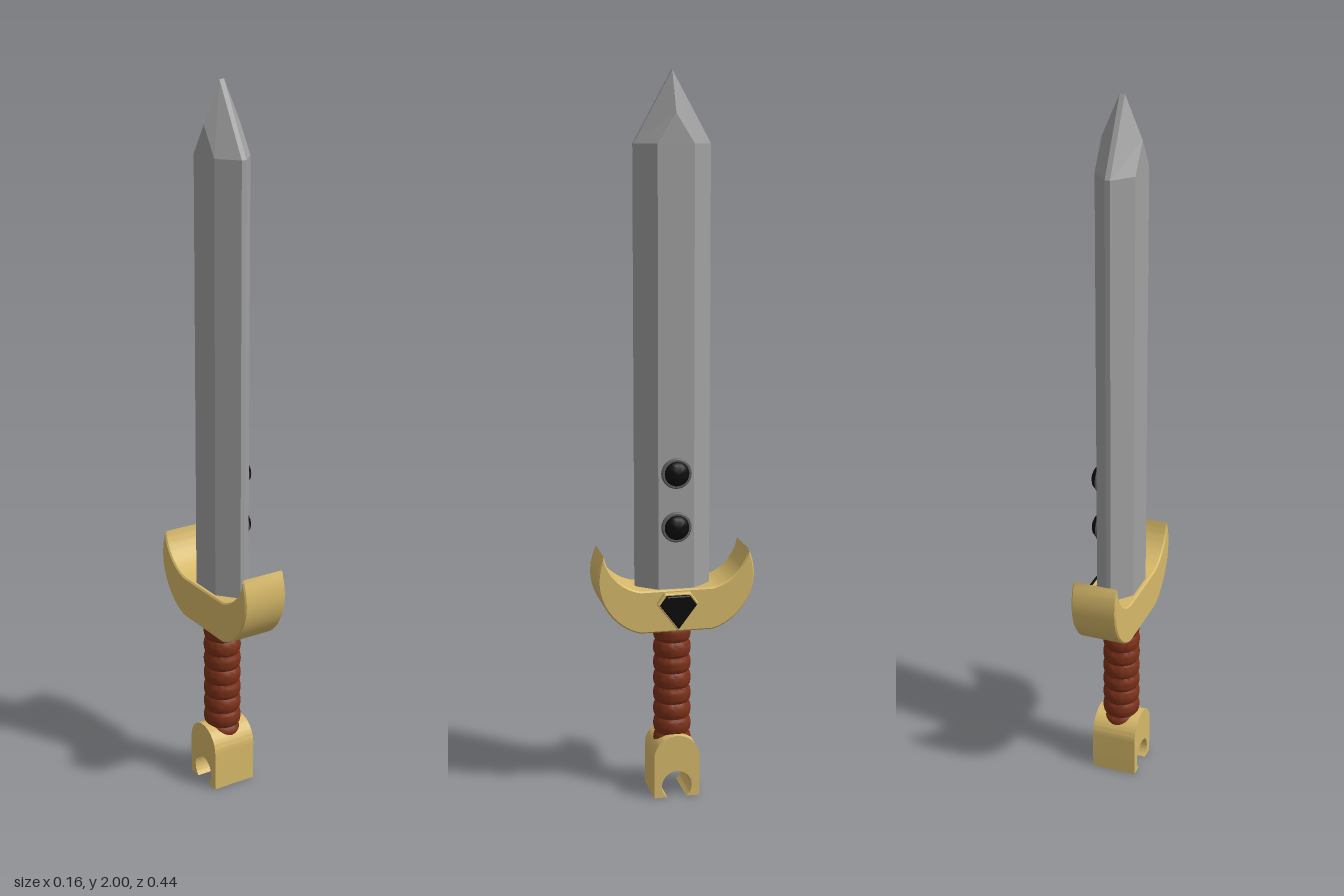
import * as THREE from 'three';
import { toCreasedNormals } from 'three/addons/utils/BufferGeometryUtils.js';

const CX = -0.014; // the blade and grip axis sits slightly off centre

const material = (color) => new THREE.MeshStandardMaterial({ color });
const steel = material(0xa0a0a0);
const darkSteel = material(0x606060);
const gold = material(0xd6b869);
const leather = material(0x7a3018);
const black = material(0x0c0c0c);

function addMesh(parent, name, geometry, mat) {
  const mesh = new THREE.Mesh(geometry, mat);
  mesh.name = name;
  parent.add(mesh);
  return mesh;
}

// Extrudes a z-y profile along x from x0 to x1 with a small bevel
function slab(shape, x0, x1, bevel) {
  const geometry = new THREE.ExtrudeGeometry(shape, {
    depth: x1 - x0 - 2 * bevel, curveSegments: 20,
    bevelEnabled: bevel > 0, bevelSize: bevel, bevelThickness: bevel,
    bevelOffset: -bevel, bevelSegments: 1,
  });
  geometry.rotateY(Math.PI / 2).translate(x0 + bevel, 0, 0);
  return toCreasedNormals(geometry, 0.5);
}

// Eight-sided blade whose section collapses to a ridge at the tip
function bladeGeometry() {
  const section = [
    [0.041, 0.05], [0.041, -0.05], [-0.007, -0.105], [-0.021, -0.105],
    [-0.068, -0.05], [-0.068, 0.05], [-0.021, 0.105], [-0.007, 0.105],
  ];
  const rings = [
    section.map(([x, z]) => [x, 0.57, z]),
    section.map(([x, z]) => [x, 1.81, z]),
    section.map(([x, z]) => [x, Math.abs(z) > 0.08 ? 2 : 1.89, 0]),
  ];
  const positions = [];
  for (let r = 0; r < 2; r++) {
    for (let i = 0; i < 8; i++) {
      const j = (i + 1) % 8;
      const [a, b, c, d] = [rings[r][i], rings[r][j], rings[r + 1][j], rings[r + 1][i]];
      positions.push(...a, ...b, ...c);
      // the flat faces end in a single point
      if (c.some((v, k) => v !== d[k])) positions.push(...a, ...c, ...d);
    }
  }
  const geometry = new THREE.BufferGeometry();
  geometry.setAttribute('position', new THREE.Float32BufferAttribute(positions, 3));
  geometry.computeVertexNormals();
  return geometry;
}

// Crescent guard with upturned horns
function guardShape() {
  const s = new THREE.Shape();
  s.moveTo(-0.1, 0.485);
  s.lineTo(0.1, 0.485);
  s.bezierCurveTo(0.175, 0.5, 0.255, 0.6, 0.203, 0.71);
  s.bezierCurveTo(0.195, 0.66, 0.155, 0.615, 0.1, 0.605);
  s.lineTo(-0.1, 0.605);
  s.bezierCurveTo(-0.155, 0.615, -0.195, 0.66, -0.203, 0.71);
  s.bezierCurveTo(-0.255, 0.6, -0.175, 0.5, -0.1, 0.485);
  return s;
}

// Arched block with a round notch open at the bottom
function pommelShape() {
  const s = new THREE.Shape();
  const notchY = 0.033, notchR = 0.043, a = Math.asin(0.033 / 0.043);
  s.moveTo(0.065, 0);
  s.lineTo(0.065, 0.115);
  s.absarc(0, 0.115, 0.065, 0, Math.PI, false);
  s.lineTo(-0.065, 0);
  s.absarc(0, notchY, notchR, Math.PI + a, -a, true);
  s.lineTo(0.065, 0);
  return s;
}

// Cut-stone outline, scaled about its middle
function gemShape(k) {
  const points = [[0, -0.057], [0.054, 0.014], [0.034, 0.042], [-0.034, 0.042], [-0.054, 0.014]];
  return new THREE.Shape(points.map(([z, y]) => new THREE.Vector2(z * k, 0.553 + y * k)));
}

// Seven rounded leather wraps
function gripGeometry() {
  const points = [];
  const y0 = 0.13, y1 = 0.49, wraps = 8, steps = 6;
  for (let i = 0; i <= wraps * steps; i++) {
    const bulge = Math.sqrt(Math.abs(Math.sin((i / steps) * Math.PI)));
    points.push(new THREE.Vector2(0.046 + 0.007 * bulge, y0 + ((y1 - y0) * i) / (wraps * steps)));
  }
  return toCreasedNormals(new THREE.LatheGeometry(points, 32), 0.9);
}

export function createModel() {
  const sword = new THREE.Group();
  sword.name = 'sword';

  addMesh(sword, 'blade', bladeGeometry(), steel);
  addMesh(sword, 'guard', slab(guardShape(), -0.079, 0.051, 0.004), gold);
  addMesh(sword, 'grip', gripGeometry(), leather).position.x = CX;
  addMesh(sword, 'pommel', slab(pommelShape(), -0.079, 0.051, 0), gold);

  // Gem in its setting on the +x face of the guard
  addMesh(sword, 'gemSetting', slab(gemShape(1.08), 0.045, 0.066, 0.003), gold);
  addMesh(sword, 'gem', slab(gemShape(0.95), 0.055, 0.077, 0.003), black);

  // Domed studs on the blade, turned to point along +x
  const rim = [[0.042, 0], [0.042, 0.008], [0.039, 0.011], [0.034, 0.011]];
  const dome = [[0.035, 0.008], [0.033, 0.016], [0.027, 0.024], [0.016, 0.029], [0, 0.031]];
  const lathe = (profile) => toCreasedNormals(
    new THREE.LatheGeometry(profile.map(([r, h]) => new THREE.Vector2(r, h)), 24), 0.6);
  for (const y of [0.78, 0.93]) {
    const stud = new THREE.Group();
    stud.name = 'stud';
    addMesh(stud, 'studRim', lathe(rim), darkSteel);
    addMesh(stud, 'studDome', lathe(dome), black);
    stud.rotation.z = -Math.PI / 2;
    stud.position.set(0.04, y, 0);
    sword.add(stud);
  }
  return sword;
}
